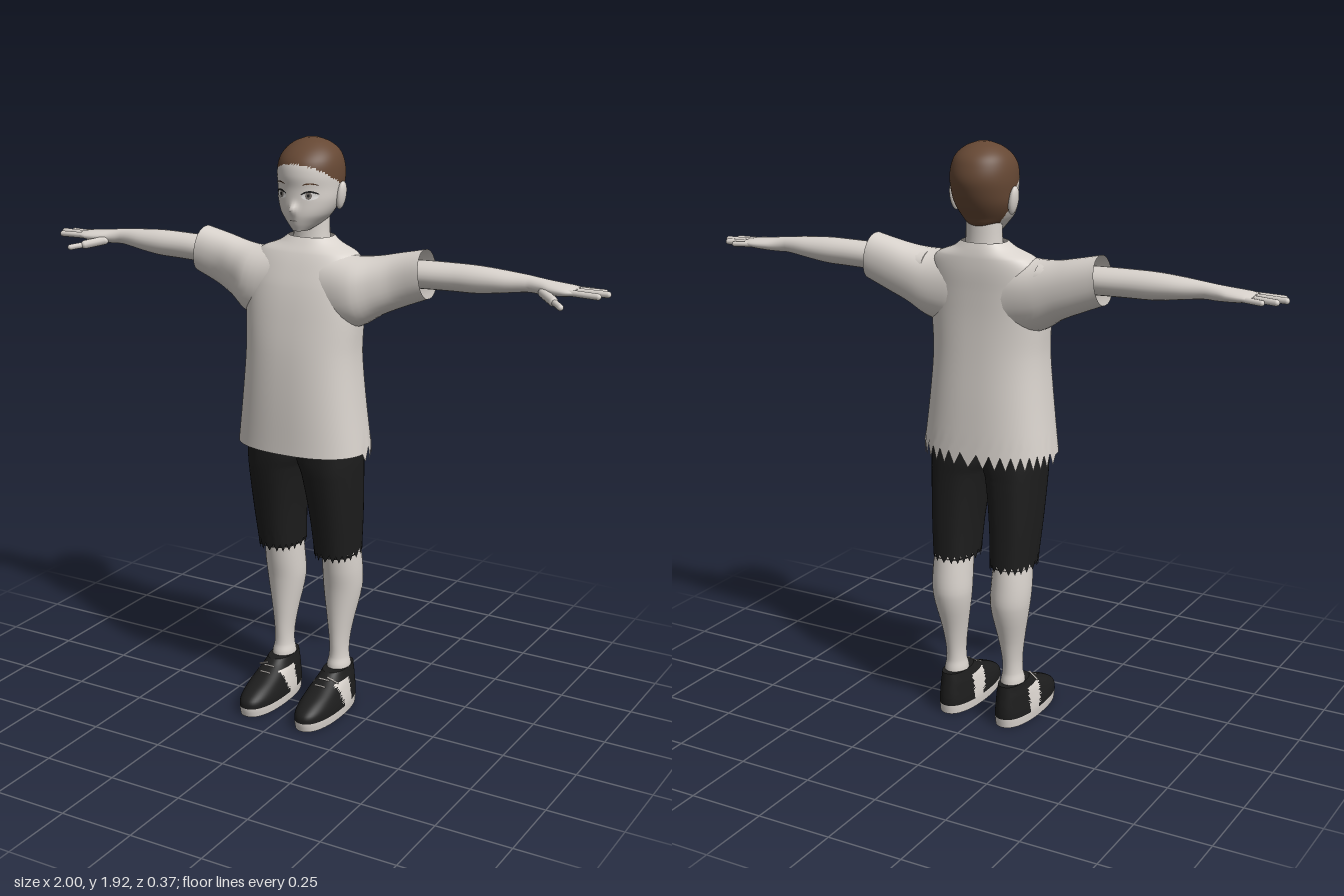
import * as THREE from 'three';

const material = (name, color, side = THREE.FrontSide) => {
  const m = new THREE.MeshStandardMaterial({ color, side });
  m.name = name;
  return m;
};

// Smoothly subdivides a list of section rows, k steps between neighbours
function refine(rows, k) {
  const out = [];
  for (let i = 0; i < rows.length - 1; i++) {
    const a = rows[Math.max(i - 1, 0)], b = rows[i], c = rows[i + 1], d = rows[Math.min(i + 2, rows.length - 1)];
    for (let s = 0; s < k; s++) {
      const t = s / k;
      out.push(b.map((v, n) => {
        if (n === 0) return v + (c[0] - v) * t;
        const h = c[0] - b[0];
        const m0 = (c[n] - a[n]) / (c[0] - a[0]) * h, m1 = (d[n] - v) / (d[0] - b[0]) * h;
        return v * (2 * t ** 3 - 3 * t * t + 1) + m0 * (t ** 3 - 2 * t * t + t)
          + c[n] * (3 * t * t - 2 * t ** 3) + m1 * (t ** 3 - t * t);
      }));
    }
  }
  out.push(rows[rows.length - 1]);
  return out;
}

// Skins rounded sections along an axis. Row: [position, aMin, aMax, bMin, bMax],
// with (a, b) = (y, z) for axis x and (z, x) for axis y.
function loft(axis, rows, { n = 32, k = 4, power = 2, caps = true, move } = {}) {
  const pos = [], idx = [], list = refine(rows, k);
  const put = (t, a, b) => pos.push(...(axis === 'x' ? [t, a, b] : [b, t, a]));
  const bend = v => Math.sign(v) * Math.abs(v) ** (2 / power);
  const ring = ([t, a0, a1, b0, b1]) => {
    for (let j = 0; j < n; j++) {
      const q = j / n * Math.PI * 2;
      put(t, (a0 + a1) / 2 + (a1 - a0) / 2 * bend(Math.cos(q)), (b0 + b1) / 2 + (b1 - b0) / 2 * bend(Math.sin(q)));
    }
  };
  list.forEach(ring);
  for (let i = 0; i < list.length - 1; i++) {
    for (let j = 0; j < n; j++) {
      const a = i * n + j, b = i * n + (j + 1) % n;
      idx.push(a, b, b + n, a, b + n, a + n);
    }
  }
  if (caps) {
    [list[0], list[list.length - 1]].forEach((r, end) => {
      const base = pos.length / 3;
      ring(r);
      put(r[0], (r[1] + r[2]) / 2, (r[3] + r[4]) / 2);
      for (let j = 0; j < n; j++) {
        const a = base + j, b = base + (j + 1) % n;
        idx.push(base + n, end ? a : b, end ? b : a);
      }
    });
  }
  if (move) {
    for (let i = 0; i < pos.length; i += 3) {
      const p = move(pos[i], pos[i + 1], pos[i + 2], (i / 3) % n, Math.floor(i / 3 / n));
      for (let c = 0; c < 3; c++) pos[i + c] = p[c];
    }
  }
  const g = new THREE.BufferGeometry();
  g.setAttribute('position', new THREE.Float32BufferAttribute(pos, 3));
  g.setIndex(idx);
  g.computeVertexNormals();
  return g;
}

// Sorts faces into colour groups by a rule on their centres
function paint(g, count, rule) {
  const bins = Array.from({ length: count }, () => []), ix = g.index.array, p = g.attributes.position;
  for (let i = 0; i < ix.length; i += 3) {
    const f = [ix[i], ix[i + 1], ix[i + 2]];
    const mid = get => f.reduce((s, v) => s + get(v) / 3, 0);
    bins[rule(mid(v => p.getX(v)), mid(v => p.getY(v)), mid(v => p.getZ(v)))].push(...f);
  }
  g.setIndex(bins.flat());
  let start = 0;
  bins.forEach((b, i) => { g.addGroup(start, b.length, i); start += b.length; });
  return g;
}

function mirrored(g) {
  const m = g.clone().scale(-1, 1, 1), ix = m.index.array;
  for (let i = 0; i < ix.length; i += 3) [ix[i], ix[i + 1]] = [ix[i + 1], ix[i]];
  return m;
}

// Rounded rod between two points
function rod(p, q, r) {
  const a = new THREE.Vector3(...p), b = new THREE.Vector3(...q), d = b.clone().sub(a);
  const g = new THREE.CapsuleGeometry(r, d.length(), 4, 10);
  g.applyQuaternion(new THREE.Quaternion().setFromUnitVectors(new THREE.Vector3(0, 1, 0), d.normalize()));
  return g.translate(...a.add(b).multiplyScalar(0.5).toArray());
}

export function createModel() {
  const model = new THREE.Group();
  model.name = 'youth';
  const pale = material('pale skin and cloth', 0xd9d3cd);
  const shirt = material('pale shirt', 0xd9d3cd, THREE.DoubleSide);
  const black = material('black', 0x1d1d1d, THREE.DoubleSide);
  const brown = material('brown hair', 0x664834);
  const white = material('eye white', 0xf4f2f0);
  const grey = material('iris grey', 0x77716c);
  const add = (name, g, mat) => {
    const m = new THREE.Mesh(g, mat);
    m.name = name;
    model.add(m);
  };
  const pair = (name, g, mat) => {
    add('left ' + name, g, mat);
    add('right ' + name, mirrored(g), mat);
  };

  // Head with nose, hair coloured by region
  const headRows = [
    [1.637, -0.04, 0.036, -0.025, 0.025], [1.66, -0.11, 0.046, -0.053, 0.053], [1.69, -0.132, 0.052, -0.08, 0.08],
    [1.73, -0.156, 0.051, -0.098, 0.098], [1.77, -0.172, 0.05, -0.103, 0.103], [1.81, -0.18, 0.054, -0.105, 0.105],
    [1.85, -0.172, 0.046, -0.1, 0.1], [1.88, -0.155, 0.022, -0.085, 0.085], [1.905, -0.12, -0.015, -0.055, 0.055],
    [1.918, -0.085, -0.05, -0.02, 0.02]];
  const head = loft('y', headRows, {
    n: 72, k: 6,
    move: (x, y, z) => [x, y, z + (z > 0 ? 0.019 * Math.exp(-((x / 0.012) ** 2) - ((y - 1.708) / 0.017) ** 2) : 0)],
  });
  const isHair = (x, y, z) => (z < -0.075 && y > 1.655) || y > 1.78 + (z + 0.06) * 0.62;
  add('head and hair', paint(head, 2, (x, y, z) => (isHair(x, y, z) ? 1 : 0)), [pale, brown]);
  pair('ear', new THREE.SphereGeometry(1, 16, 12).scale(0.014, 0.045, 0.022).rotateZ(-0.15).translate(0.104, 1.744, -0.068), pale);
  add('neck', loft('y', [[1.53, -0.13, 0, -0.075, 0.075], [1.6, -0.118, -0.014, -0.062, 0.062],
    [1.69, -0.115, -0.02, -0.058, 0.058]], { n: 28 }), pale);

  // Facial details laid onto the curved face
  const fine = refine(headRows, 6);
  const faceZ = (x, y) => {
    const i = Math.max(1, fine.findIndex(r => r[0] >= y)), a = fine[i - 1], b = fine[i];
    const r = a.map((v, n) => v + (b[n] - v) * (y - a[0]) / (b[0] - a[0]));
    return (r[1] + r[2]) / 2 + (r[2] - r[1]) / 2 * Math.sqrt(Math.max(0, 1 - (x / r[4]) ** 2));
  };
  const patch = (cx, cy, rx, ry, lift, arch = 0) => {
    const g = new THREE.CircleGeometry(1, 24).scale(rx, ry, 1).translate(cx, cy, 0), p = g.attributes.position;
    for (let i = 0; i < p.count; i++) {
      const x = p.getX(i), y = p.getY(i) - arch * ((x - cx) / rx) ** 2;
      p.setXYZ(i, x, y, faceZ(x, y) + lift);
    }
    g.computeVertexNormals();
    return g;
  };
  pair('eye white', patch(0.05, 1.75, 0.023, 0.012, 0.002), white);
  pair('iris', patch(0.048, 1.751, 0.009, 0.011, 0.003), grey);
  pair('pupil', patch(0.048, 1.752, 0.004, 0.005, 0.004), black);
  pair('upper lash', patch(0.051, 1.764, 0.025, 0.003, 0.004, 0.009), black);
  pair('eyebrow', patch(0.052, 1.789, 0.022, 0.0022, 0.003, 0.005), brown);
  add('mouth', patch(0, 1.672, 0.013, 0.0015, 0.003), grey);

  // Shirt body with a torn rear hem
  add('shirt body', loft('y', [
    [0.93, -0.175, 0.13, -0.225, 0.225], [1.1, -0.163, 0.126, -0.205, 0.205], [1.25, -0.15, 0.115, -0.194, 0.194],
    [1.37, -0.142, 0.096, -0.2, 0.2], [1.46, -0.14, 0.075, -0.2, 0.2], [1.52, -0.14, 0.052, -0.192, 0.192],
    [1.565, -0.136, 0.03, -0.165, 0.165], [1.59, -0.13, 0.012, -0.105, 0.105], [1.612, -0.122, -0.004, -0.074, 0.074]], {
    n: 72, power: 2.4, caps: false,
    move: (x, y, z, j, i) => [x, i === 0 && z < -0.01 ? y + (j % 2 ? 0.015 : -0.03) : y, z],
  }), shirt);
  pair('sleeve', loft('x', [
    [0.08, 1.32, 1.572, -0.132, 0.06], [0.18, 1.345, 1.564, -0.136, 0.06], [0.25, 1.385, 1.569, -0.135, 0.03],
    [0.32, 1.415, 1.583, -0.133, 0.006], [0.41, 1.45, 1.602, -0.13, 0]], {
    power: 2.2, caps: false, move: (x, y, z) => [x + (1.52 - y) * 0.13, y, z],
  }), shirt);

  // Arms, palms and fingers
  pair('arm and palm', loft('x', [
    [0.2, 1.47, 1.56, -0.12, -0.012], [0.4, 1.48, 1.568, -0.12, -0.012], [0.5, 1.483, 1.57, -0.118, -0.018],
    [0.58, 1.485, 1.57, -0.117, -0.02], [0.66, 1.495, 1.565, -0.112, -0.028], [0.74, 1.506, 1.558, -0.101, -0.045],
    [0.78, 1.505, 1.553, -0.104, -0.04], [0.82, 1.506, 1.548, -0.114, -0.026], [0.87, 1.51, 1.543, -0.118, -0.02],
    [0.9, 1.516, 1.538, -0.112, -0.028]], { n: 24 }), pale);
  const fingers = [
    ['little finger', [0.87, 1.525, -0.106], [0.932, 1.523, -0.117], 0.009],
    ['ring finger', [0.88, 1.527, -0.084], [0.97, 1.525, -0.1], 0.01],
    ['middle finger', [0.88, 1.528, -0.062], [0.99, 1.527, -0.071], 0.01],
    ['index finger', [0.88, 1.527, -0.037], [0.972, 1.525, -0.036], 0.01],
    ['thumb base', [0.8, 1.517, -0.04], [0.85, 1.505, 0.002], 0.015],
    ['thumb tip', [0.85, 1.505, 0.002], [0.886, 1.498, 0.036], 0.01]];
  fingers.forEach(([name, p, q, r]) => pair(name, rod(p, q, r), pale));

  // Shorts with frayed cuffs
  pair('shorts leg', loft('y', [
    [0.56, -0.152, 0.03, 0.038, 0.175], [0.7, -0.15, 0.056, 0.03, 0.184], [0.85, -0.147, 0.084, 0.01, 0.19],
    [0.9, -0.147, 0.09, -0.008, 0.191], [1, -0.14, 0.095, -0.01, 0.185]], {
    n: 40, power: 2.5,
    move: (x, y, z, j, i) => [x, i === 0 ? y + (j % 2 ? 0.012 : -0.014) : y, z],
  }), black);

  // Bare lower legs
  pair('lower leg', loft('y', [
    [0.1, -0.12, -0.02, 0.067, 0.148], [0.15, -0.115, -0.022, 0.069, 0.146], [0.18, -0.11, -0.03, 0.075, 0.14],
    [0.23, -0.114, -0.03, 0.075, 0.14], [0.3, -0.128, -0.028, 0.065, 0.15], [0.42, -0.16, -0.022, 0.045, 0.173],
    [0.5, -0.157, -0.01, 0.045, 0.177], [0.62, -0.14, 0.005, 0.05, 0.17]]), pale);

  // Shoes: pale sole and side panel, black upper
  const shoe = loft('y', [
    [0, -0.143, 0.185, 0.045, 0.169], [0.03, -0.146, 0.19, 0.043, 0.171], [0.055, -0.146, 0.183, 0.045, 0.169],
    [0.08, -0.144, 0.145, 0.05, 0.164], [0.105, -0.141, 0.085, 0.056, 0.158], [0.125, -0.139, 0.04, 0.063, 0.151],
    [0.143, -0.137, 0.012, 0.068, 0.147]], { n: 64, power: 2.3 });
  const shoePale = (x, y, z) => y < 0.03 || (y < 0.115 && z > -0.05 && z < 0.035 - (0.115 - y) * 0.4);
  pair('shoe', paint(shoe, 2, (x, y, z) => (shoePale(x, y, z) ? 1 : 0)), [black, pale]);
  [[0.118, 0.062], [0.131, 0.035]].forEach(([y, z], i) =>
    pair('lace ' + (i + 1), rod([0.09, y - 0.005, z], [0.124, y - 0.005, z], 0.003), pale));
  pair('lace bow', rod([0.118, 0.135, 0.03], [0.153, 0.118, 0.02], 0.003), pale);

  return model;
}
